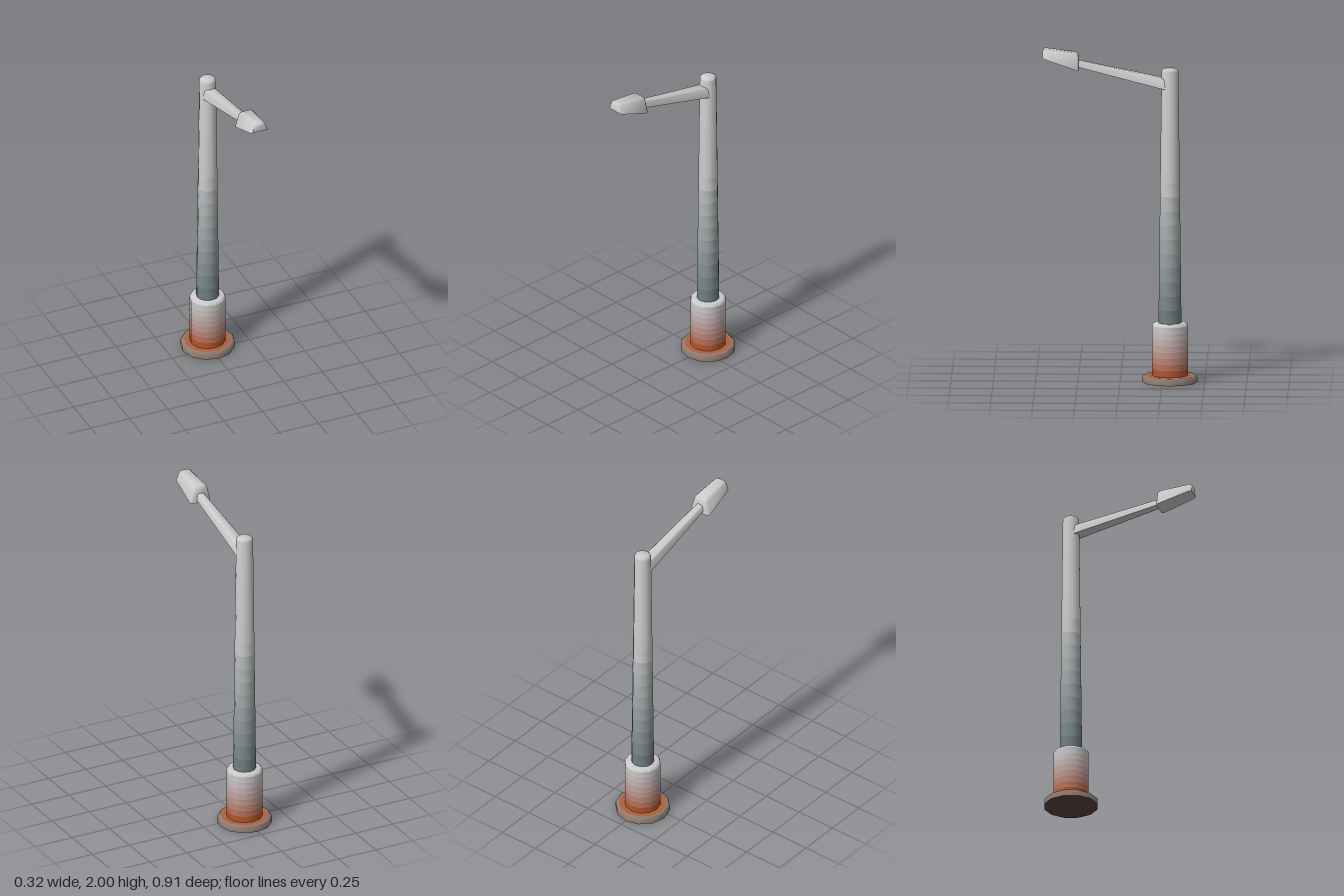
import * as THREE from 'three';
import { toCreasedNormals } from 'three/addons/utils/BufferGeometryUtils.js';

const GREY = 0xcccccc;
const POLE_Z = -0.295;

function mesh(name, geometry, color = GREY) {
  const m = new THREE.Mesh(
    toCreasedNormals(geometry, 0.9),
    new THREE.MeshStandardMaterial({ color })
  );
  m.name = name;
  return m;
}

// Twelve-sided turned piece from [radius, y] pairs, bottom to top
function turned(name, profile, color) {
  const points = profile.map(([r, y]) => new THREE.Vector2(r, y));
  return mesh(name, new THREE.LatheGeometry(points, 12), color);
}

// Straight turned wall whose colour fades upward in narrow bands
function fadedWall(name, [r0, y0], [r1, y1], colorLow, colorHigh, bands) {
  const group = new THREE.Group();
  group.name = name;
  const at = (t) => [r0 + (r1 - r0) * t, y0 + (y1 - y0) * t];
  for (let i = 0; i < bands; i++) {
    const color = new THREE.Color(colorLow).lerp(new THREE.Color(colorHigh), i / (bands - 1));
    group.add(turned(name + 'Band', [at(i / bands), at((i + 1) / bands)], color));
  }
  return group;
}

// Capped skin over rings of equal length, each counterclockwise seen from the last ring
function loft(rings) {
  const n = rings[0].length;
  const positions = rings.flat(2);
  const index = [];
  for (let k = 0; k < rings.length - 1; k++) {
    for (let i = 0; i < n; i++) {
      const a = k * n + i, b = k * n + (i + 1) % n;
      index.push(a, b, b + n, a, b + n, a + n);
    }
  }
  const last = (rings.length - 1) * n;
  for (let i = 1; i < n - 1; i++) {
    index.push(0, i + 1, i, last, last + i, last + i + 1);
  }
  const g = new THREE.BufferGeometry();
  g.setAttribute('position', new THREE.Float32BufferAttribute(positions, 3));
  g.setIndex(index);
  return g;
}

// Arm section: narrower at the top, with softened upper corners
function armRing(z, low, high, half) {
  const top = half * 0.78, c = half * 0.18;
  return [
    [half, low, z], [top, high - c, z], [top - c, high, z],
    [c - top, high, z], [-top, high - c, z], [-half, low, z],
  ];
}

// Lamp section: a sloping tapered rectangle with cut corners
function lampRing(zBack, zFront, yBack, yFront, halfBack, halfFront, c) {
  const slope = (yFront - yBack) / (zFront - zBack);
  const right = [
    [halfFront, zFront - c], [halfBack, zBack + c], [halfBack - c, zBack],
  ];
  const left = [
    [c - halfBack, zBack], [-halfBack, zBack + c], [-halfFront, zFront - c], [c - halfFront, zFront],
  ];
  return [...right, ...left, [halfFront - c, zFront]].map(
    ([x, z]) => [x, yBack + (z - zBack) * slope, z]
  );
}

export function createModel() {
  const model = new THREE.Group();
  model.name = 'streetLamp';

  // Everything turned about the post's axis
  const post = new THREE.Group();
  post.name = 'post';
  post.position.z = POLE_Z;
  model.add(post);

  post.add(
    turned('footUnderside', [[0, 0], [0.162, 0]], 0x5a443e),
    turned('footRim', [[0.162, 0], [0.162, 0.032], [0.152, 0.042], [0.14, 0.042]], 0x8f7a70),
    turned('footTop', [[0.14, 0.042], [0.1, 0.042]], 0xb0603a),
    fadedWall('collar', [0.107, 0.042], [0.107, 0.34], 0xb4552b, GREY, 8),
    turned('collarTop', [[0.107, 0.34], [0.103, 0.351], [0.093, 0.356], [0.06, 0.356]], GREY),
    fadedWall('pole', [0.068, 0.35], [0.058, 1.2], 0x707f83, 0xbfc2c2, 10),
    turned('poleUpper', [[0.058, 1.2], [0.05, 1.862], [0.047, 1.874], [0.038, 1.881], [0, 1.881]], GREY)
  );

  // Rising arm reaching forward from the pole
  model.add(mesh('arm', loft([
    armRing(-0.275, 1.757, 1.82, 0.045),
    armRing(0.27, 1.896, 1.935, 0.026),
  ])));

  // Lamp head: wide flat underside, sloped sides, softened top
  model.add(mesh('lampHead', loft([
    lampRing(0.245, 0.457, 1.873, 1.945, 0.068, 0.057, 0.01),
    lampRing(0.247, 0.457, 1.962, 1.99, 0.045, 0.038, 0.01),
    lampRing(0.26, 0.445, 1.976, 2.0, 0.034, 0.028, 0.008),
  ])));

  return model;
}
